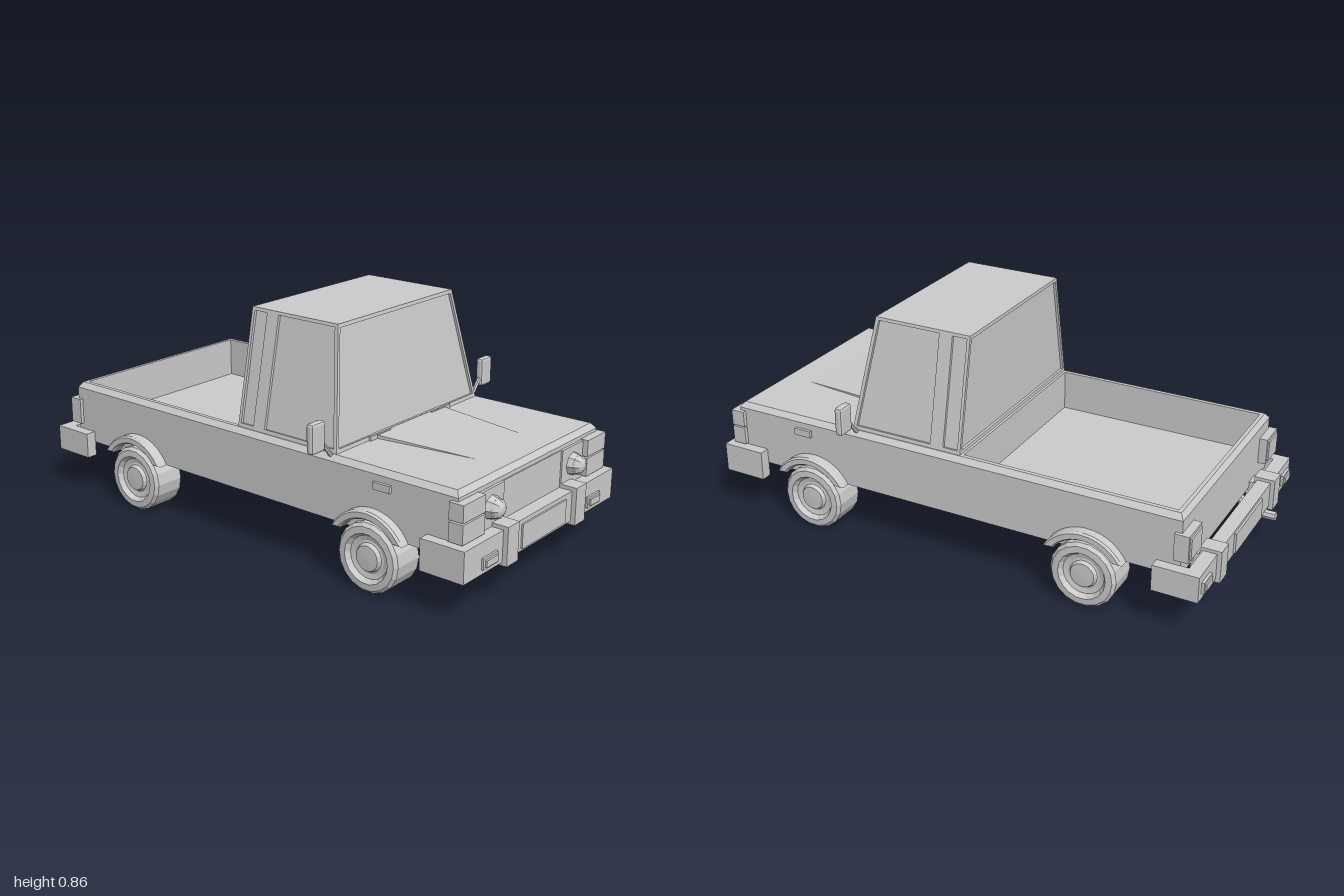
import * as THREE from 'three';
import { RoundedBoxGeometry } from 'three/addons/geometries/RoundedBoxGeometry.js';

const mat = new THREE.MeshStandardMaterial({ color: 0xcccccc, flatShading: true });
const openMat = new THREE.MeshStandardMaterial({ color: 0xcccccc, flatShading: true, side: THREE.DoubleSide });

// Geometry from quads, corners counter-clockwise seen from outside
function quads(list) {
  const pos = [];
  for (const [a, b, c, d] of list) for (const p of [a, b, c, a, c, d]) pos.push(p.x, p.y, p.z);
  const g = new THREE.BufferGeometry();
  g.setAttribute('position', new THREE.Float32BufferAttribute(pos, 3));
  g.computeVertexNormals();
  return g;
}

// Closed loft through rectangles [halfWidth, zBack, zFront, yBack, yFront]
function loft(rows) {
  const rings = rows.map(([x, z0, z1, y0, y1 = y0]) => [
    new THREE.Vector3(-x, y1, z1), new THREE.Vector3(x, y1, z1),
    new THREE.Vector3(x, y0, z0), new THREE.Vector3(-x, y0, z0)]);
  const list = [[...rings[0]].reverse(), rings[rings.length - 1]];
  for (let k = 0; k < rings.length - 1; k++)
    for (let i = 0; i < 4; i++) {
      const j = (i + 1) % 4;
      list.push([rings[k][i], rings[k][j], rings[k + 1][j], rings[k + 1][i]]);
    }
  return quads(list);
}

// Wall panel with a sunken window; margins are left, right, bottom, top
function windowPanel([bl, br, tr, tl], [l, r, b, t], depth = 0.01) {
  const w = bl.distanceTo(br), wt = tl.distanceTo(tr), h = bl.distanceTo(tl);
  const at = (m, v, right) => {
    const width = THREE.MathUtils.lerp(w, wt, v);
    const u = right ? 1 - m / width : m / width;
    return bl.clone().lerp(br, u).lerp(tl.clone().lerp(tr, u), v);
  };
  const outer = [bl, br, tr, tl];
  const rim = [at(l, b / h, false), at(r, b / h, true), at(r, 1 - t / h, true), at(l, 1 - t / h, false)];
  const n = br.clone().sub(bl).cross(tl.clone().sub(bl)).normalize();
  const pane = rim.map(p => p.clone().addScaledVector(n, -depth));
  const list = [pane];
  for (let i = 0; i < 4; i++) {
    const j = (i + 1) % 4;
    list.push([outer[i], outer[j], rim[j], rim[i]], [rim[i], rim[j], pane[j], pane[i]]);
  }
  return quads(list);
}

export function createModel() {
  const model = new THREE.Group();
  model.name = 'pickupTruck';
  const add = (name, geo, x = 0, y = 0, z = 0, material = mat) => {
    const m = new THREE.Mesh(geo, material);
    m.name = name;
    m.position.set(x, y, z);
    model.add(m);
    return m;
  };
  // Box given by its extents
  const box = (name, x0, x1, y0, y1, z0, z1) =>
    add(name, new THREE.BoxGeometry(x1 - x0, y1 - y0, z1 - z0), (x0 + x1) / 2, (y0 + y1) / 2, (z0 + z1) / 2);
  // Same box on both sides
  const pair = (name, x0, x1, ...rest) => {
    box(name + 'Left', x0, x1, ...rest);
    box(name + 'Right', -x1, -x0, ...rest);
  };

  // Body shell with bevelled shoulder and sunken load bed
  add('body', loft([
    [0.435, -0.88, 0.92, 0.21], [0.435, -0.88, 0.92, 0.42], [0.418, -0.866, 0.905, 0.44],
    [0.402, -0.852, -0.045, 0.44], [0.402, -0.852, -0.045, 0.285]]));
  // Raised middle of the bonnet, tapering forwards
  const V = (x, y, z) => new THREE.Vector3(x, y, z);
  const a = V(-0.155, 0.4405, 0.8), b = V(0.155, 0.4405, 0.8), c = V(0.205, 0.453, 0.4), d = V(-0.205, 0.453, 0.4);
  const c0 = V(0.205, 0.44, 0.4), d0 = V(-0.205, 0.44, 0.4);
  add('bonnetBulge', quads([[a, b, c, d], [b, c0, c, b], [a, d, d0, a], [c0, d0, d, c]]));

  // Cab: four leaning walls with sunken windows, and a roof
  const lo = (s, z) => V(s * 0.415, 0.44, z), hi = (s, z) => V(s * 0.33, 0.86, z);
  const zLo = 0.415, zHi = 0.35, zBack = -0.035, zMid = 0.06;
  add('windscreen', windowPanel([lo(-1, zLo), lo(1, zLo), hi(1, zHi), hi(-1, zHi)], [0.012, 0.012, 0.014, 0.014]));
  add('rearWindow', windowPanel([lo(1, zBack), lo(-1, zBack), hi(-1, zBack), hi(1, zBack)], [0.012, 0.012, 0.014, 0.014]));
  for (const s of [1, -1]) {
    const side = s > 0 ? 'Left' : 'Right';
    const wall = (name, f0, f1, r, mf, mr) => {
      const front = [lo(s, f0), hi(s, f1)], rear = [lo(s, r), hi(s, r)];
      const [p, q] = s > 0 ? [front, rear] : [rear, front];
      add(name + side, windowPanel([p[0], q[0], q[1], p[1]],
        s > 0 ? [mf, mr, 0.014, 0.012] : [mr, mf, 0.014, 0.012]));
    };
    wall('doorWindow', zLo, zHi, zMid, 0.014, 0.028);
    wall('quarterWindow', zMid, zMid, zBack, 0.025, 0.012);
  }
  add('roof', quads([[hi(-1, zHi), hi(1, zHi), hi(1, zBack), hi(-1, zBack)]]));

  // Wheels and arches
  const tyre = [[0, -0.07], [0.113, -0.07], [0.125, -0.058], [0.125, 0.056], [0.114, 0.068], [0.09, 0.07],
    [0.078, 0.052], [0.06, 0.048], [0.052, 0.05], [0.045, 0.064], [0, 0.066]].map(p => new THREE.Vector2(...p));
  const wheelGeo = new THREE.LatheGeometry(tyre, 18);
  const flare = new THREE.Shape();
  const aOut = Math.asin(0.08 / 0.168), aIn = Math.asin(0.08 / 0.136);
  flare.absarc(0, 0, 0.168, aOut, Math.PI - aOut, false);
  flare.absarc(0, 0, 0.136, Math.PI - aIn, aIn, true);
  const archGeo = new THREE.ExtrudeGeometry(flare, {
    depth: 0.034, curveSegments: 9, bevelEnabled: true, bevelSize: 0.006, bevelOffset: -0.006, bevelThickness: 0.008, bevelSegments: 1 });
  for (const s of [1, -1]) for (const [end, z] of [['front', 0.585], ['rear', -0.54]]) {
    const side = s > 0 ? 'Left' : 'Right';
    add(end + 'Wheel' + side, wheelGeo, s * 0.4, 0.127, z).rotation.z = -s * Math.PI / 2;
    add(end + 'Arch' + side, archGeo, s * 0.434, 0.13, z).rotation.y = s * Math.PI / 2;
  }

  // Front bumper with ends wrapping round the body
  box('frontBumper', -0.475, 0.475, 0.155, 0.268, 0.915, 0.975);
  pair('frontBumperEnd', 0.433, 0.475, 0.155, 0.268, 0.805, 0.915);
  pair('frontOverrider', 0.185, 0.252, 0.143, 0.282, 0.905, 0.993);
  box('frontPlate', -0.14, 0.14, 0.165, 0.252, 0.97, 0.981);
  pair('frontIndicatorFrame', 0.29, 0.375, 0.172, 0.212, 0.97, 0.983);
  pair('frontIndicator', 0.3, 0.365, 0.18, 0.204, 0.975, 0.99);

  // Rear bumper
  box('rearBumper', -0.475, 0.475, 0.155, 0.252, -0.962, -0.91);
  pair('rearBumperEnd', 0.433, 0.475, 0.155, 0.252, -0.91, -0.795);
  pair('rearBumperBracket', 0.25, 0.31, 0.175, 0.235, -0.915, -0.87);
  pair('rearOverrider', 0.245, 0.31, 0.143, 0.264, -0.978, -0.9);
  box('rearPlate', -0.14, 0.14, 0.163, 0.242, -0.97, -0.96);
  pair('rearReflectorFrame', 0.375, 0.45, 0.178, 0.22, -0.972, -0.96);
  pair('rearReflector', 0.384, 0.441, 0.186, 0.212, -0.978, -0.97);

  // Nose: lamp panels, headlamps and stacked corner lamps
  box('grille', -0.185, 0.185, 0.26, 0.405, 0.915, 0.924);
  pair('headlampPanel', 0.185, 0.325, 0.26, 0.405, 0.915, 0.93);
  pair('cornerLampUpper', 0.325, 0.45, 0.347, 0.408, 0.895, 0.95);
  pair('cornerLampLower', 0.325, 0.45, 0.273, 0.341, 0.895, 0.95);
  const ringGeo = new THREE.CylinderGeometry(0.037, 0.044, 0.024, 8).rotateX(Math.PI / 2);
  const lensGeo = new THREE.SphereGeometry(0.037, 8, 4, 0, Math.PI * 2, 0, Math.PI / 2).scale(1, 0.8, 1).rotateX(Math.PI / 2);
  for (const s of [1, -1]) {
    add('headlampRing', ringGeo, s * 0.258, 0.338, 0.939);
    add('headlampLens', lensGeo, s * 0.258, 0.338, 0.949);
  }

  // Tail lamps and side markers
  pair('tailLamp', 0.335, 0.448, 0.275, 0.375, -0.91, -0.857);
  pair('tailLampLens', 0.345, 0.438, 0.285, 0.365, -0.916, -0.908);
  pair('sideMarker', 0.43, 0.446, 0.37, 0.396, 0.59, 0.66);

  // Mirrors on slanted arms, and wipers
  const mirrorGeo = new RoundedBoxGeometry(0.068, 0.108, 0.03, 1, 0.01);
  for (const s of [1, -1]) {
    add('mirror', mirrorGeo, s * 0.499, 0.518, 0.395);
    const arm = new THREE.LineCurve3(V(s * 0.415, 0.428, 0.395), V(s * 0.475, 0.5, 0.395));
    add('mirrorArm', new THREE.TubeGeometry(arm, 1, 0.008, 6), 0, 0, 0, openMat);
  }
  box('wiperRight', -0.24, -0.125, 0.44, 0.456, 0.416, 0.424);
  box('wiperLeft', 0.12, 0.235, 0.44, 0.456, 0.416, 0.424);

  // Exhaust pipe
  const pipe = new THREE.CatmullRomCurve3([V(-0.225, 0.205, -0.83), V(-0.225, 0.155, -0.88), V(-0.225, 0.136, -0.93), V(-0.225, 0.133, -1)]);
  add('exhaust', new THREE.TubeGeometry(pipe, 6, 0.018, 8), 0, 0, 0, openMat);
  return model;
}
